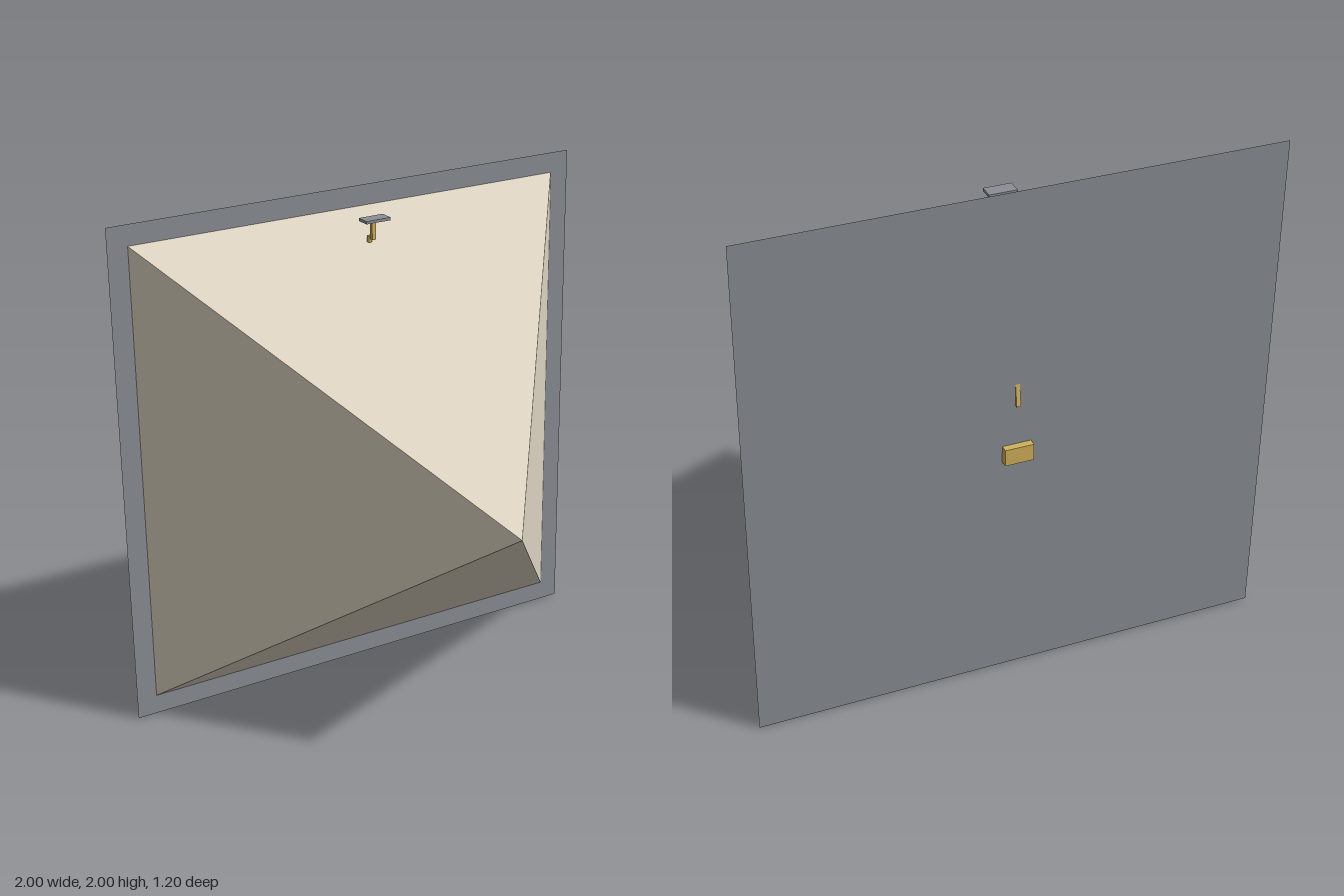
import * as THREE from 'three';

const material = (name, color, side = THREE.FrontSide) => {
  const m = new THREE.MeshStandardMaterial({ color, side });
  m.name = name;
  return m;
};

export function createModel() {
  const model = new THREE.Group();
  const stone = material('beige stone', 0xddd3c1);
  const grey = material('slate grey', 0x8a8e94, THREE.DoubleSide);
  const gold = material('dull gold', 0xd2b15c);
  stone.flatShading = true;

  const add = (name, geometry, mat, x, y, z) => {
    const mesh = new THREE.Mesh(geometry, mat);
    mesh.name = name;
    mesh.position.set(x, y, z);
    model.add(mesh);
    return mesh;
  };

  // Upright square sheet
  add('backSheet', new THREE.PlaneGeometry(2, 2), grey, 0, 1, -0.573);

  // Four-sided pyramid pointing forward
  const half = 0.92, depth = 1.17;
  const pyramid = new THREE.ConeGeometry(half * Math.SQRT2, depth, 4, 1, true);
  pyramid.rotateY(Math.PI / 4).rotateX(Math.PI / 2);
  add('pyramid', pyramid, stone, 0, 1, -0.57 + depth / 2);

  // Small shelf, post and peg above the upper slope
  add('shelf', new THREE.BoxGeometry(0.104, 0.011, 0.055), grey, 0, 1.917, -0.398);
  add('post', new THREE.BoxGeometry(0.016, 0.07, 0.016), gold, 0, 1.87, -0.412);
  add('peg', new THREE.CylinderGeometry(0.01, 0.01, 0.024, 8), gold, 0, 1.831, -0.439);

  // Block on the back
  add('backBlock', new THREE.BoxGeometry(0.11, 0.066, 0.028), gold, 0, 0.967, -0.588);

  // Slim wedge on the back, thicker at the bottom
  const profile = new THREE.Shape([[0, 0], [0.014, 0], [0, 0.085]].map(p => new THREE.Vector2(...p)));
  const wedge = new THREE.ExtrudeGeometry(profile, { depth: 0.016, bevelEnabled: false });
  wedge.translate(0, 0, -0.008).rotateY(Math.PI / 2);
  add('backWedge', wedge, gold, 0, 1.162, -0.573);

  return model;
}
